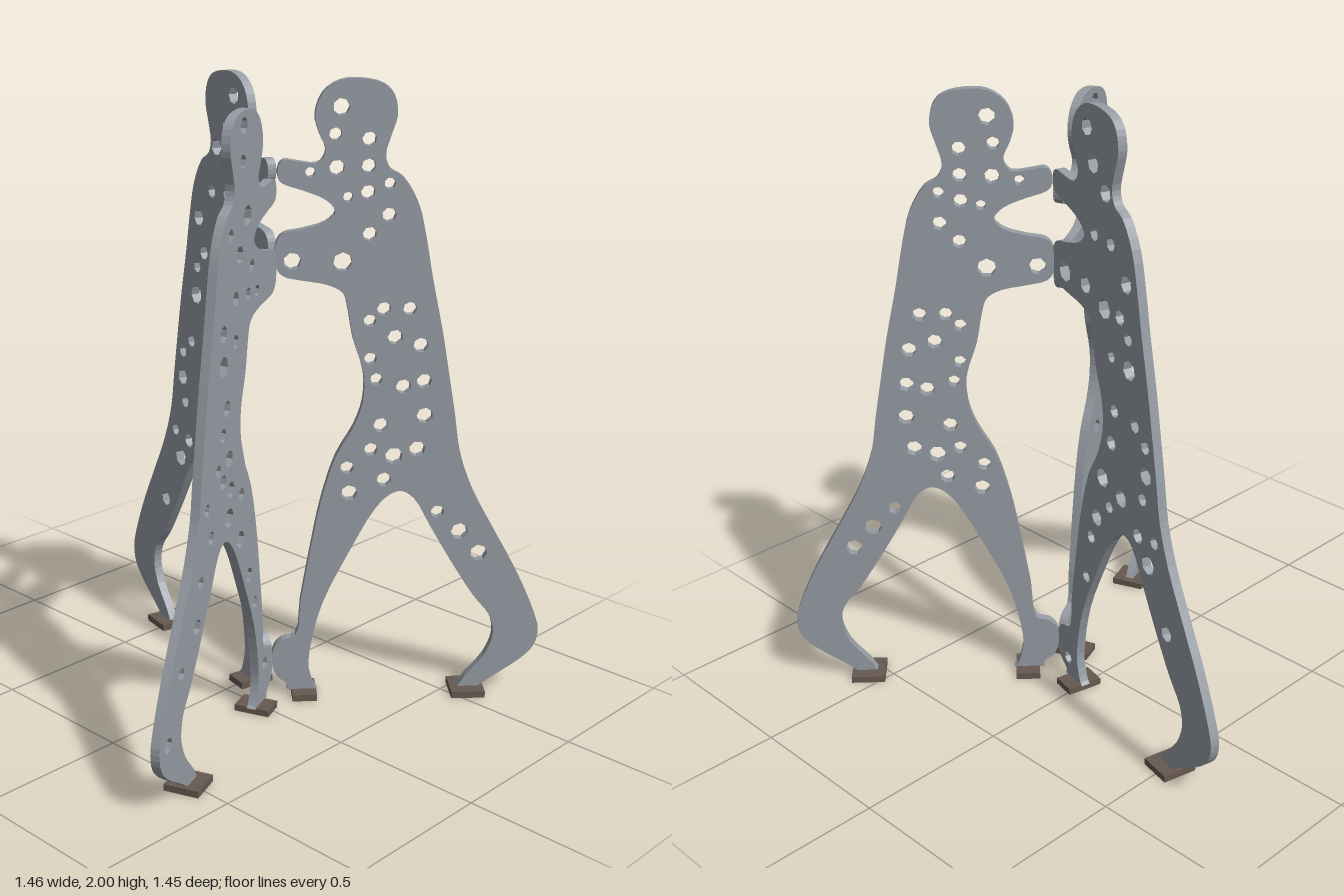
import * as THREE from 'three';

const steel = new THREE.MeshStandardMaterial({ color: 0x959ba3 });
steel.name = 'grey steel';
const brown = new THREE.MeshStandardMaterial({ color: 0x665850 });
brown.name = 'brown base';

const THICK = 0.03;

// Silhouette from the inner foot up the chest, round the arms and head, down the back
const BODY = [
  .05, .02, .05, .04, .015, .07, 0, .12, .005, .17, .03, .2, .075, .215, .09, .335,
  .12, .52, .15, .68, .195, .83, .25, .93, .275, 1.01, .275, 1.1, .24, 1.21, .22, 1.315,
  .205, 1.355, .16, 1.38, .08, 1.395, .02, 1.41, 0, 1.44, 0, 1.51, .02, 1.54, .08, 1.553,
  .15, 1.575, .178, 1.605, .15, 1.64, .08, 1.67, .02, 1.69, .005, 1.705, .005, 1.745, .02, 1.762,
  .065, 1.757, .12, 1.752, .14, 1.77, .145, 1.795, .125, 1.84, .112, 1.895, .135, 1.96, .185, 1.995,
  .25, 2, .315, 1.985, .345, 1.955, .357, 1.895, .34, 1.835, .325, 1.775, .34, 1.735, .38, 1.71,
  .428, 1.63, .455, 1.525, .48, 1.395, .515, 1.235, .54, 1.1, .565, .96, .585, .84, .63, .715,
  .705, .575, .785, .43, .85, .285, .867, .22, .855, .165, .815, .12, .715, .05, .675, .02,
];
// Between the legs, from the outer foot over the crotch to the inner foot
const LEGS = [
  .61, .02, .635, .06, .695, .135, .72, .21, .705, .275, .65, .345, .57, .47, .5, .59, .445, .685,
  .405, .71, .37, .7, .325, .655, .243, .505, .16, .325, .125, .18, .12, .1, .14, .03, .15, .02,
];

// Drilled holes of each figure: distance from the centre, height, radius
const HOLES_LEFT = [
  .194, 1.93, .027, .227, 1.83, .028, .292, 1.76, .027, .319, 1.617, .021, .232, 1.622, .02,
  .4, 1.52, .027, .183, 1.452, .027, .069, 1.458, .032, .368, 1.41, .023, .286, 1.41, .032,
  .411, 1.357, .02, .417, 1.262, .031, .324, 1.272, .018, .45, 1.098, .021, .341, 1.103, .021,
  .504, 1.05, .021, .509, .96, .028, .324, .992, .024, .493, .876, .021, .379, .828, .029,
  .276, .854, .031, .314, .77, .02, .558, .759, .02, .471, .743, .024, .526, .67, .032,
  .243, .701, .028, .21, .616, .021, .629, .484, .026, .18, .458, .02, .064, .087, .021,
];
const HOLES_BACK = [
  .19, 1.918, .026, .275, 1.823, .022, .174, 1.838, .02, .1, 1.725, .016, .18, 1.738, .024,
  .275, 1.743, .022, .34, 1.69, .018, .275, 1.664, .022, .215, 1.65, .016, .34, 1.595, .022,
  .283, 1.537, .022, .203, 1.452, .03, .05, 1.455, .027, .333, 1.304, .022, .413, 1.304, .022,
  .29, 1.267, .02, .37, 1.214, .024, .45, 1.188, .024, .295, 1.146, .02, .4, 1.055, .024,
  .315, 1.08, .02, .464, 1.072, .024, .333, .93, .024, .304, .85, .022, .45, .85, .026,
  .47, .96, .026, .23, .79, .022, .377, .828, .028, .348, .749, .024, .239, .706, .026,
  .522, .638, .022, .595, .57, .028, .66, .495, .028,
];
const HOLES_FRONT = [
  .257, 1.956, .026, .263, 1.852, .022, .351, 1.65, .019, .228, 1.688, .032, .287, 1.58, .027,
  .193, 1.53, .019, .222, 1.448, .019, .152, 1.443, .019, .316, 1.454, .022, .404, 1.367, .026,
  .316, 1.323, .022, .404, 1.268, .032, .38, 1.132, .026, .409, 1.056, .022,
  .363, .968, .027, .409, .908, .024, .351, .865, .027, .444, .955, .02,
  .526, .859, .019, .363, .777, .032, .269, .821, .022, .497, .761, .022, .275, .674, .029,
  .573, .646, .02, .602, .516, .025, .205, .526, .025, .713, .412, .021, .158, .412, .02,
  .807, .226, .025, .07, .155, .022,
];

function smoothPath(flat) {
  const pts = [];
  for (let i = 0; i < flat.length; i += 2) pts.push(new THREE.Vector3(flat[i], flat[i + 1], 0));
  const curve = new THREE.CatmullRomCurve3(pts, false, 'centripetal');
  return curve.getPoints((pts.length - 1) * 3).map((p) => new THREE.Vector2(p.x, p.y));
}

// Seven-sided hole, wound against the clockwise silhouette so its walls face inwards
function hole(x, y, r, spin) {
  const pts = [];
  for (let i = 0; i < 7; i++) {
    const a = spin + (i / 7) * Math.PI * 2;
    pts.push(new THREE.Vector2(x + r * Math.cos(a), y + r * Math.sin(a)));
  }
  return new THREE.Path(pts);
}

function bodyPlate(holes) {
  const shape = new THREE.Shape([...smoothPath(BODY), ...smoothPath(LEGS)]);
  for (let i = 0; i < holes.length; i += 3) {
    shape.holes.push(hole(holes[i], holes[i + 1], holes[i + 2], i));
  }
  const geo = new THREE.ExtrudeGeometry(shape, { depth: THICK, bevelEnabled: false });
  geo.translate(0, 0, -THICK / 2);
  const mesh = new THREE.Mesh(geo, steel);
  mesh.name = 'bodyPlate';
  return mesh;
}

// Foot base: flat lid on a square rim, with a steel sole showing underneath
function footBase(name, x, w, d) {
  const base = new THREE.Group();
  base.name = name;
  base.position.x = x;
  const lid = new THREE.Mesh(new THREE.BoxGeometry(w, 0.01, d), brown);
  lid.name = 'baseLid';
  lid.position.y = 0.017;
  const rect = (a, b) => [[-a, -b], [a, -b], [a, b], [-a, b]].map((p) => new THREE.Vector2(...p));
  const ring = new THREE.Shape(rect(w / 2, d / 2));
  ring.holes.push(new THREE.Path(rect(w * 0.3, d * 0.3).reverse()));
  const rimGeo = new THREE.ExtrudeGeometry(ring, { depth: 0.012, bevelEnabled: false });
  rimGeo.rotateX(-Math.PI / 2);
  const rim = new THREE.Mesh(rimGeo, brown);
  rim.name = 'baseRim';
  const sole = new THREE.Mesh(new THREE.BoxGeometry(w * 0.6, 0.004, d * 0.6), steel);
  sole.name = 'sole';
  sole.position.y = 0.01;
  base.add(lid, rim, sole);
  return base;
}

// One leaning figure, radiating from the shared centre along (dx, dz)
function figure(name, holes, x, z, dx, dz, scale) {
  const g = new THREE.Group();
  g.name = name;
  g.add(bodyPlate(holes), footBase('innerFootBase', 0.105, 0.08, 0.12), footBase('outerFootBase', 0.64, 0.11, 0.115));
  g.position.set(x, 0, z);
  g.rotation.y = Math.atan2(-dz, dx);
  g.scale.setScalar(scale);
  return g;
}

export function createModel() {
  const model = new THREE.Group();
  model.name = 'threeLeaningFigures';
  model.add(
    figure('leftFigure', HOLES_LEFT, 0.115, -0.08, -0.974, -0.225, 1),
    figure('backFigure', HOLES_BACK, 0.125, -0.085, 0.683, -0.73, 1),
    figure('frontFigure', HOLES_FRONT, 0.125, -0.068, 0.36, 0.933, 0.97),
  );
  return model;
}
